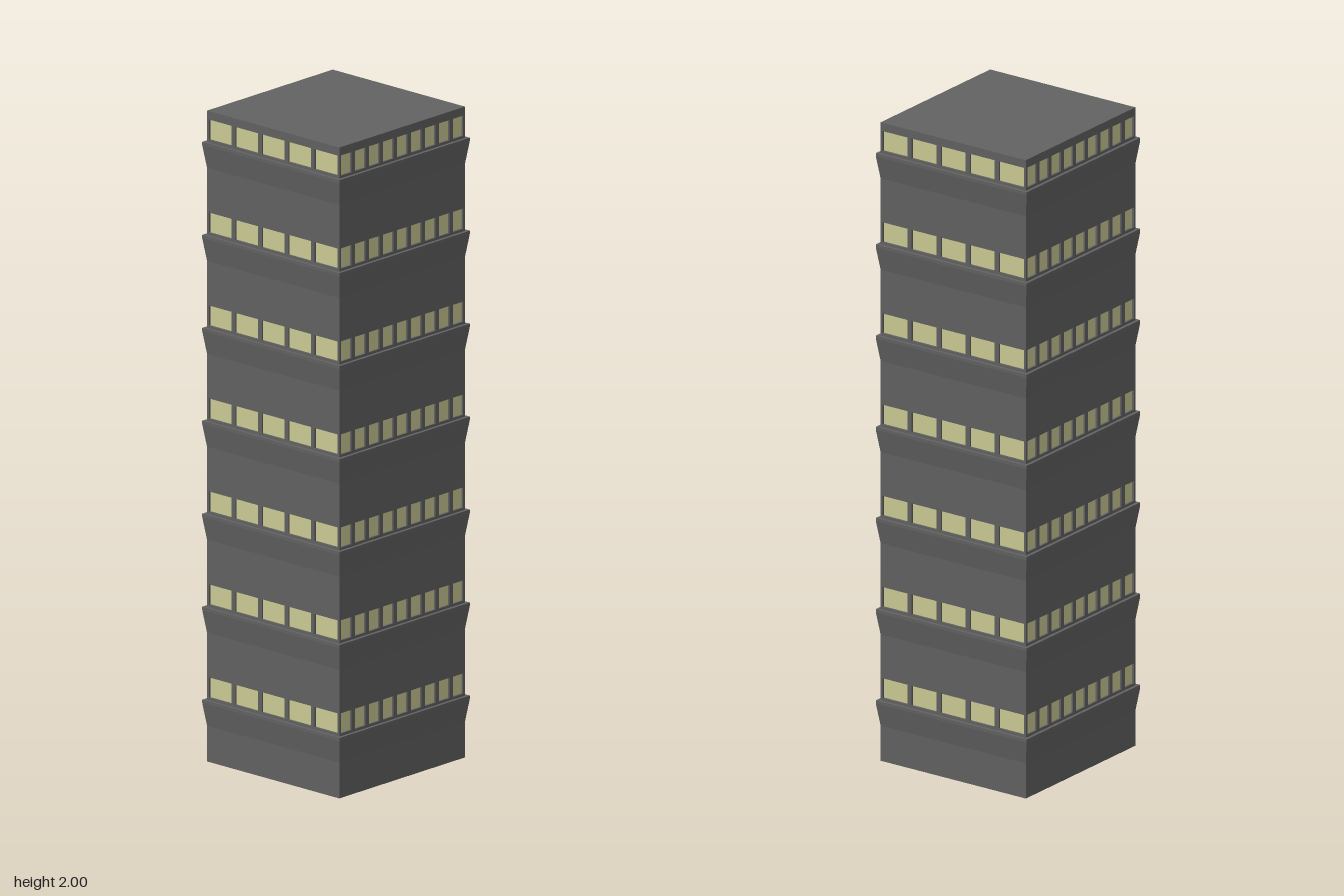
import * as THREE from 'three';

const HX = 0.264, HZ = 0.271;      // wall half sizes
const STOREY = 0.2857, STOREYS = 7;
const SILL = 0.198, HEAD = 0.26;   // window band within a storey
const LIP = 0.01;                  // ledge overhang
const RECESS = 0.006, POST = 0.015;

const wallMat = new THREE.MeshStandardMaterial({ color: 0x626262, flatShading: true });
const glassMat = new THREE.MeshStandardMaterial({ color: 0xcdcd96, flatShading: true });

// Closed solid through rectangular rings, each given as [height, outward growth]
function ringStack(rings) {
  const pos = [];
  const corners = rings.map(([y, g]) => [[1, 1], [1, -1], [-1, -1], [-1, 1]]
    .map(([sx, sz]) => [sx * (HX + g), y, sz * (HZ + g)]));
  const quad = (a, b, c, d) => pos.push(...a, ...b, ...c, ...a, ...c, ...d);
  for (let r = 0; r < corners.length - 1; r++) {
    for (let i = 0; i < 4; i++) {
      const j = (i + 1) % 4;
      quad(corners[r][i], corners[r][j], corners[r + 1][j], corners[r + 1][i]);
    }
  }
  const bottom = corners[0], top = corners[corners.length - 1];
  quad(...top);
  quad(bottom[3], bottom[2], bottom[1], bottom[0]);
  const geo = new THREE.BufferGeometry();
  geo.setAttribute('position', new THREE.Float32BufferAttribute(pos, 3));
  geo.computeVertexNormals();
  return geo;
}

function add(group, name, geo, mat, x = 0, y = 0, z = 0) {
  const mesh = new THREE.Mesh(geo, mat);
  mesh.name = name;
  mesh.position.set(x, y, z);
  group.add(mesh);
}

export function createModel() {
  const tower = new THREE.Group();
  tower.name = 'tower';
  const bandH = HEAD - SILL, bandY = (HEAD + SILL) / 2;

  for (let s = 0; s < STOREYS; s++) {
    const storey = new THREE.Group();
    storey.name = 'storey';
    storey.position.y = s * STOREY;
    tower.add(storey);

    // Wall flaring out to a ledge below the windows
    const base = s === 0 ? 0 : HEAD - STOREY;
    add(storey, 'flaredWall', ringStack([
      [base, 0], [0.11, 0], [0.18, LIP], [0.19, LIP], [0.19, 0], [SILL, 0],
    ]), wallMat);

    // Recessed glazing, seen between the posts
    add(storey, 'glazing',
      new THREE.BoxGeometry(2 * (HX - RECESS), bandH, 2 * (HZ - RECESS)), glassMat, 0, bandY);

    // Posts run straight through to the opposite face
    for (let i = 1; i < 5; i++) {
      add(storey, 'frontBackPost', new THREE.BoxGeometry(POST, bandH, 2 * HZ), wallMat,
        -HX + (2 * HX * i) / 5, bandY, 0);
    }
    for (let i = 1; i < 9; i++) {
      add(storey, 'sidePost', new THREE.BoxGeometry(2 * HX, bandH, POST), wallMat,
        0, bandY, -HZ + (2 * HZ * i) / 9);
    }
    for (const sx of [-1, 1]) for (const sz of [-1, 1]) {
      add(storey, 'cornerPost', new THREE.BoxGeometry(POST / 2, bandH, POST / 2), wallMat,
        sx * (HX - POST / 4), bandY, sz * (HZ - POST / 4));
    }
  }

  // Flat roof slab
  add(tower, 'roof', ringStack([[(STOREYS - 1) * STOREY + HEAD, 0], [2, 0]]), wallMat);
  return tower;
}
